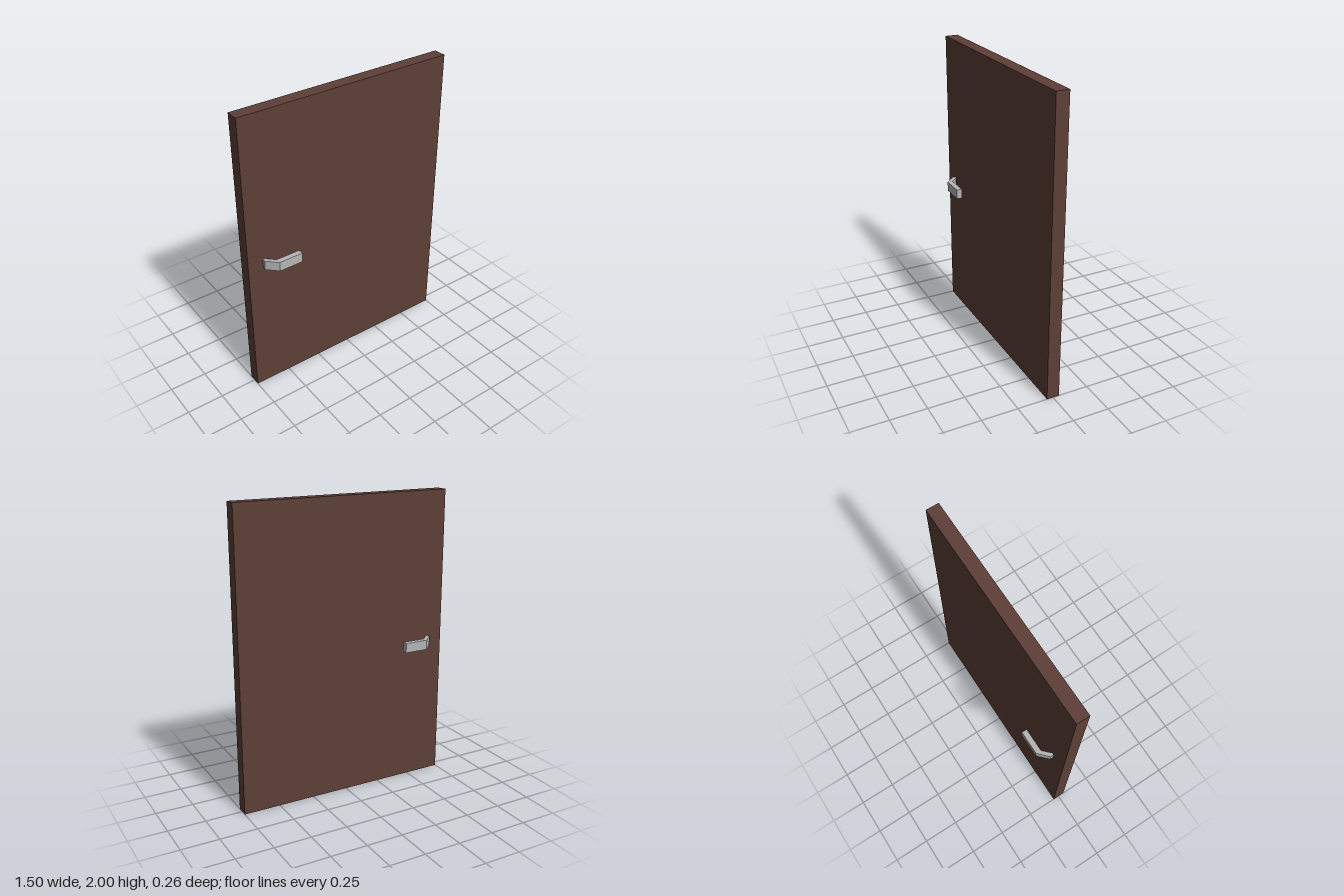
import * as THREE from 'three';

export function createModel() {
  const group = new THREE.Group();
  const wood = new THREE.MeshStandardMaterial({ color: 0x5d3f37 });
  wood.name = 'brown wood';
  const metal = new THREE.MeshStandardMaterial({ color: 0xb5b5b5 });
  metal.name = 'grey metal';

  // door slab
  const panel = new THREE.Mesh(new THREE.BoxGeometry(1.5, 2, 0.086), wood);
  panel.name = 'doorPanel';
  panel.position.y = 1;
  group.add(panel);

  // bent lever outline seen from above, as [x, z]
  const outline = [
    [-0.645, 0.04], [-0.645, 0.065], [-0.577, 0.131], [-0.412, 0.131],
    [-0.412, 0.094], [-0.577, 0.094], [-0.632, 0.04],
  ];

  // one lever on each face, mirrored through the slab
  for (const [name, side] of [['frontHandle', 1], ['backHandle', -1]]) {
    const shape = new THREE.Shape(outline.map(([x, z]) => new THREE.Vector2(x, z * side)));
    const geometry = new THREE.ExtrudeGeometry(shape, { depth: 0.066, bevelEnabled: false });
    geometry.rotateX(Math.PI / 2);
    const handle = new THREE.Mesh(geometry, metal);
    handle.name = name;
    handle.position.y = 1.006;
    group.add(handle);
  }
  return group;
}
